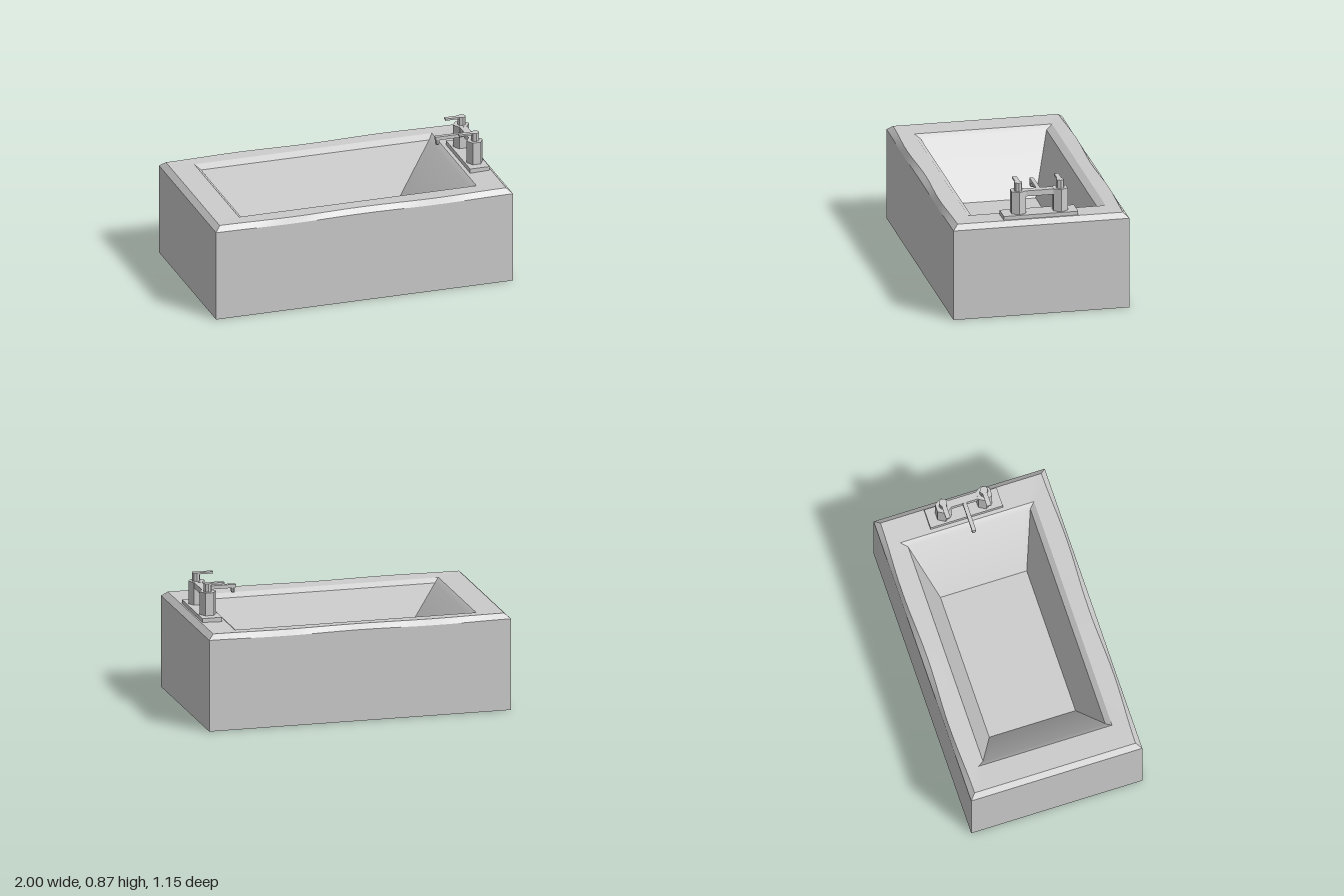
import * as THREE from 'three';
import { toCreasedNormals } from 'three/addons/utils/BufferGeometryUtils.js';

const material = new THREE.MeshStandardMaterial({ color: 0xcccccc, side: THREE.DoubleSide });
const STEPS = 24; // points along each side of a rectangular loop
const ZC = -0.007; // centre line of the tap set

// Gentle ripple along the long sides
const ripple = (x) => Math.sin(Math.PI * x) ** 2;

// Rectangular loop, counter-clockwise from above, with optional ripple in z and y
function loop(hx, z0, z1, y, rz = 0, ry = 0) {
  const corners = [[-hx, z1], [hx, z1], [hx, z0], [-hx, z0]];
  const points = [];
  corners.forEach(([x, z], side) => {
    const [nx, nz] = corners[(side + 1) % 4];
    for (let i = 0; i < STEPS; i++) {
      const t = i / STEPS;
      const px = x + (nx - x) * t;
      const w = side % 2 === 0 ? ripple(px / hx) : 0;
      points.push([px, y + ry * w, z + (nz - z) * t + Math.sign(z) * rz * w]);
    }
  });
  return points;
}

// Skin a list of loops, keeping strong edges sharp
function skin(loops) {
  const n = loops[0].length;
  const index = [];
  for (let k = 0; k < loops.length - 1; k++) {
    for (let i = 0; i < n; i++) {
      const j = (i + 1) % n;
      const a = k * n + i, b = k * n + j, c = a + n, d = b + n;
      index.push(a, b, d, a, d, c);
    }
  }
  const g = new THREE.BufferGeometry();
  g.setAttribute('position', new THREE.Float32BufferAttribute(loops.flat(2), 3));
  g.setIndex(index);
  return toCreasedNormals(g, 0.5);
}

function add(parent, name, geometry, x = 0, y = 0, z = 0) {
  const mesh = new THREE.Mesh(geometry, material);
  mesh.name = name;
  mesh.position.set(x, y, z);
  parent.add(mesh);
  return mesh;
}

// Box given by its limits
function addBox(parent, name, [x0, x1], [y0, y1], [z0, z1]) {
  const g = new THREE.BoxGeometry(x1 - x0, y1 - y0, z1 - z0);
  return add(parent, name, g, (x0 + x1) / 2, (y0 + y1) / 2, (z0 + z1) / 2);
}

// Faceted upright prism
function addPrism(parent, name, radius, sides, y0, y1, x, z, bottom = radius) {
  const g = new THREE.CylinderGeometry(radius, bottom, y1 - y0, sides);
  g.rotateY(Math.PI / 2);
  return add(parent, name, toCreasedNormals(g, 0.3), x, (y0 + y1) / 2, z);
}

export function createModel() {
  const model = new THREE.Group();
  model.name = 'bathtub';

  // Open-bottomed casing, bevelled rim, deck and sloping basin walls
  const outer = loop(1, -0.575, 0.575, 0.603, 0, -0.006);
  const bevel = loop(0.965, -0.541, 0.541, 0.635, 0.014);
  const opening = loop(0.8, -0.463, 0.437, 0.63);
  const lip = loop(0.768, -0.42, 0.402, 0.604);
  const foot = loop(0.5, -0.29, 0.29, 0.245);
  add(model, 'casing', skin([loop(1, -0.575, 0.575, 0), outer]));
  add(model, 'rim', skin([outer, bevel, opening]));
  add(model, 'basinWalls', skin([opening, lip, foot]));
  const floor = new THREE.PlaneGeometry(1, 0.58).rotateX(-Math.PI / 2);
  add(model, 'basinFloor', floor, 0, 0.245, 0);

  // Tap set on the deck at one end
  const taps = new THREE.Group();
  taps.name = 'tapSet';
  model.add(taps);
  addBox(taps, 'basePlate', [0.825, 0.955], [0.63, 0.66], [ZC - 0.243, ZC + 0.243]);
  for (const side of [-1, 1]) {
    const z = ZC + side * 0.137;
    addPrism(taps, 'tapPost', 0.0535, 6, 0.66, 0.81, 0.89, z);
    addPrism(taps, 'tapStem', 0.027, 8, 0.81, 0.865, 0.893, z);
    addBox(taps, 'tapLever', [0.782, 0.89], [0.853, 0.865], [z - 0.015, z + 0.015]);
  }
  addBox(taps, 'bridge', [0.867, 0.916], [0.772, 0.809], [ZC - 0.1, ZC + 0.1]);

  // Spout with a turned-down nozzle
  addBox(taps, 'spout', [0.67, 0.87], [0.785, 0.808], [ZC - 0.013, ZC + 0.013]);
  addPrism(taps, 'nozzle', 0.015, 8, 0.762, 0.788, 0.685, ZC);
  addPrism(taps, 'nozzleTip', 0.015, 8, 0.752, 0.762, 0.685, ZC, 0.01);

  return model;
}
